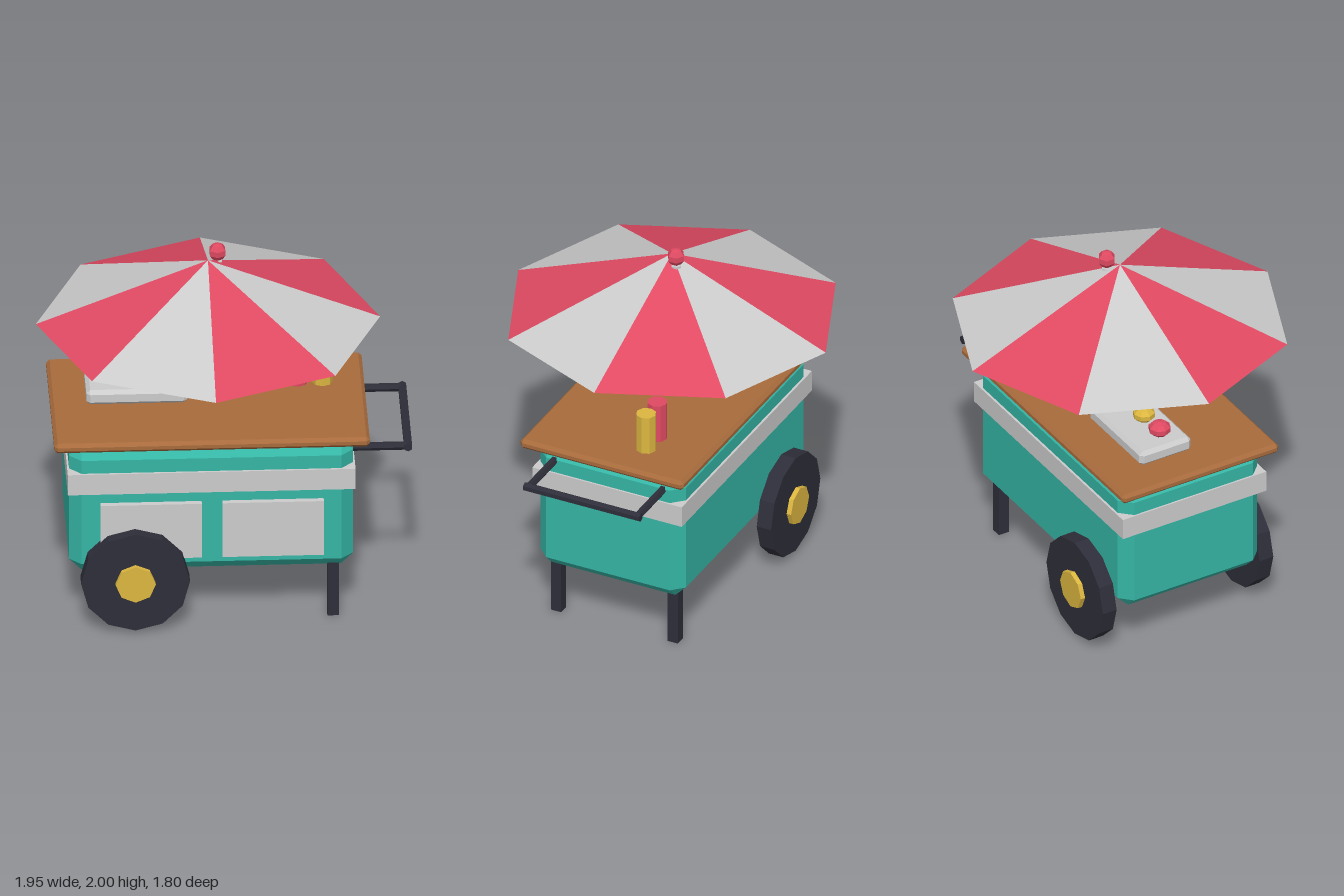
import * as THREE from 'three';
import { ConvexGeometry } from 'three/addons/geometries/ConvexGeometry.js';

const GREY = 0xcccccc, TEAL = 0x35b5a5, WOOD = 0xa86b3c, DARK = 0x2e2e3a;
const YELLOW = 0xdcb640, RED = 0xe04a62, BROWN = 0xa5652f;

const materials = {};
function mat(color) {
  return (materials[color] ??= new THREE.MeshStandardMaterial({ color, flatShading: true }));
}

// Box with chamfered edges, from three inset faces per corner
function chamferBox(w, h, d, b) {
  const pts = [];
  for (const x of [-1, 1]) for (const y of [-1, 1]) for (const z of [-1, 1])
    for (const [ix, iy, iz] of [[0, b, b], [b, 0, b], [b, b, 0]])
      pts.push(new THREE.Vector3(x * (w / 2 - ix), y * (h / 2 - iy), z * (d / 2 - iz)));
  return new ConvexGeometry(pts);
}

export function createModel() {
  const cart = new THREE.Group();
  cart.name = 'foodCart';

  function add(name, geometry, color, x, y, z, parent = cart) {
    const mesh = new THREE.Mesh(geometry, mat(color));
    mesh.name = name;
    mesh.position.set(x, y, z);
    parent.add(mesh);
    return mesh;
  }

  // Body, trim band and counter
  add('body', chamferBox(1.485, 0.74, 0.85, 0.063), TEAL, -0.078, 0.674, 0);
  add('trimBand', new THREE.BoxGeometry(1.505, 0.12, 0.875), GREY, -0.078, 0.845, 0);
  add('counter', chamferBox(1.65, 0.056, 0.955, 0.018), WOOD, -0.077, 1.078, 0);

  // Front panels
  for (const x of [-0.395, 0.243])
    add('frontPanel', new THREE.BoxGeometry(0.53, 0.32, 0.04), GREY, x, 0.568, 0.437);

  // Wheels, legs and handle arms on both sides
  for (const s of [1, -1]) {
    const wheel = new THREE.Group();
    wheel.name = s > 0 ? 'frontWheel' : 'backWheel';
    wheel.position.set(-0.48, 0.302, s * 0.478);
    wheel.rotation.x = Math.PI / 2;
    cart.add(wheel);
    add('tyre', new THREE.CylinderGeometry(0.285, 0.285, 0.084, 12), DARK, 0, 0, 0, wheel);
    add('hub', new THREE.CylinderGeometry(0.105, 0.105, 0.136, 8), YELLOW, 0, 0, 0, wheel);

    add('leg', new THREE.BoxGeometry(0.06, 0.34, 0.06), DARK, 0.56, 0.17, s * 0.342);

    const arm = add('handleArm', new THREE.CylinderGeometry(0.022, 0.022, 0.33, 6), DARK, 0.79, 0.972, s * 0.318);
    arm.rotation.z = Math.PI / 2;
  }
  const bar = add('handleBar', new THREE.CylinderGeometry(0.024, 0.024, 0.68, 6), DARK, 0.954, 0.972, 0);
  bar.rotation.x = Math.PI / 2;

  // Tray with three fruits
  add('tray', chamferBox(0.53, 0.085, 0.312, 0.02), GREY, -0.45, 1.147, -0.1);
  [RED, YELLOW, BROWN].forEach((color, i) => {
    const fruit = add('fruit', new THREE.SphereGeometry(0.062, 8, 5), color, -0.61 + i * 0.159, 1.233, -0.08);
    fruit.scale.y = 0.68;
  });

  // Sauce bottles
  add('redBottle', new THREE.CylinderGeometry(0.054, 0.054, 0.22, 8), RED, 0.398, 1.214, -0.155);
  add('yellowBottle', new THREE.CylinderGeometry(0.054, 0.054, 0.22, 8), YELLOW, 0.528, 1.214, -0.155);

  // Parasol: pole, alternating canopy panels, flat underside and finial
  add('pole', new THREE.CylinderGeometry(0.029, 0.029, 0.8, 6), GREY, -0.027, 1.5, -0.05);
  const canopy = new THREE.Group();
  canopy.name = 'canopy';
  canopy.position.set(-0.077, 1.57, 0);
  cart.add(canopy);
  const step = Math.PI / 4;
  for (let i = 0; i < 8; i++)
    add('canopyPanel', new THREE.ConeGeometry(0.9, 0.357, 1, 1, true, i * step, step),
      i % 2 ? GREY : RED, 0, 0.1785, 0, canopy);
  add('canopyUnderside', new THREE.CircleGeometry(0.9, 8).rotateX(Math.PI / 2), RED, 0, 0, 0, canopy);
  add('finial', new THREE.SphereGeometry(0.049, 6, 5).rotateY(Math.PI / 2), RED, -0.025, 1.951, -0.05);

  return cart;
}
